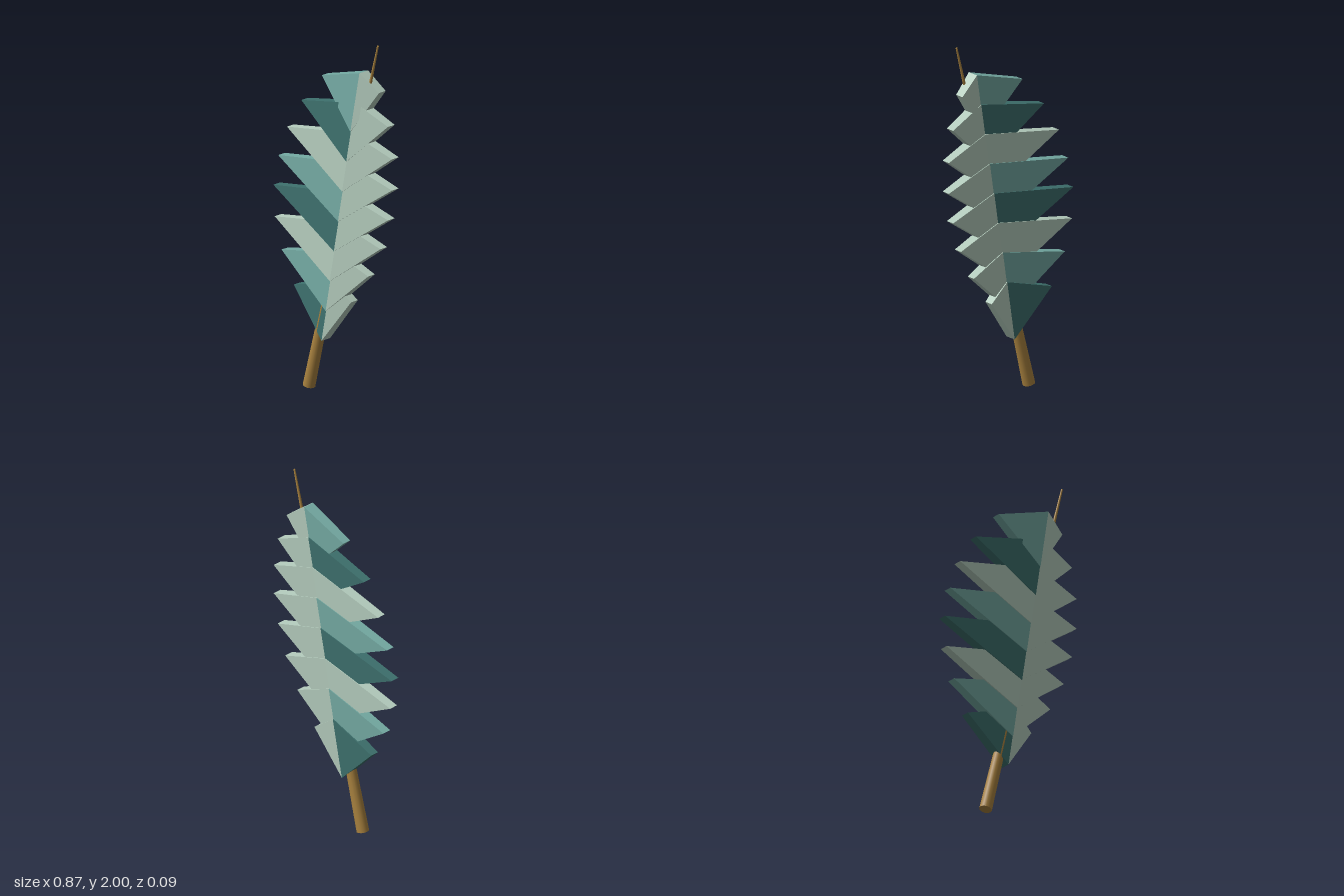
import * as THREE from 'three';

const paint = (name, color) => {
  const m = new THREE.MeshStandardMaterial({ color });
  m.name = name;
  return m;
};

// Triangular prism; each corner is [x, y, frontZ, backZ], anticlockwise from the front
function prism(corners) {
  const f = corners.map(([x, y, z]) => [x, y, z]);
  const b = corners.map(([x, y, , z]) => [x, y, z]);
  const pos = [...f, b[0], b[2], b[1]];
  for (let i = 0; i < 3; i++) {
    const j = (i + 1) % 3;
    pos.push(f[i], b[i], b[j], f[i], b[j], f[j]);
  }
  const g = new THREE.BufferGeometry();
  g.setAttribute('position', new THREE.Float32BufferAttribute(pos.flat(), 3));
  g.computeVertexNormals();
  return g;
}

export function createModel() {
  const model = new THREE.Group();
  model.name = 'feather';
  const pale = paint('pale sage', 0xb4ccbd);
  const teal = paint('teal', 0x74aaa3);
  const dark = paint('dark teal', 0x3d706d);
  const gold = paint('golden brown', 0xa9823f);
  const add = (geometry, material, name) => {
    const mesh = new THREE.Mesh(geometry, material);
    mesh.name = name;
    model.add(mesh);
    return mesh;
  };

  // Tapered quill running the whole length
  const foot = new THREE.Vector3(-0.175, 0.008, 0.008);
  const tip = new THREE.Vector3(0.33, 1.999, 0.008);
  const dir = tip.clone().sub(foot);
  const quill = add(new THREE.CylinderGeometry(0.005, 0.034, dir.length(), 12), gold, 'quill');
  quill.position.copy(foot).add(tip).multiplyScalar(0.5);
  quill.quaternion.setFromUnitVectors(new THREE.Vector3(0, 1, 0), dir.normalize());

  // Overlapping barbs on either side of the spine, tilted like shingles
  const leftTips = [0.13, 0.255, 0.345, 0.4, 0.43, 0.43, 0.4, 0.335];
  const rightTips = [-0.29, -0.38, -0.43, -0.44, -0.405, -0.34, -0.235, -0.085];
  const colours = [dark, teal, pale];
  const spineX = (y) => -0.05 + (y - 0.29) * 0.1755;
  for (let i = 0; i < 8; i++) {
    const y = 0.29 + i * 0.172;
    const top = y + 0.336;
    const low = [spineX(y), y, 0.043, -0.022];
    const high = [spineX(top), top, 0.035, -0.03];
    const end = (x) => [x, y + 0.246, 0.005, -0.045];
    add(prism([low, end(leftTips[i]), high]), pale, 'leftBarb' + (i + 1));
    add(prism([low, high, end(rightTips[i])]), colours[i % 3], 'rightBarb' + (i + 1));
  }
  return model;
}
